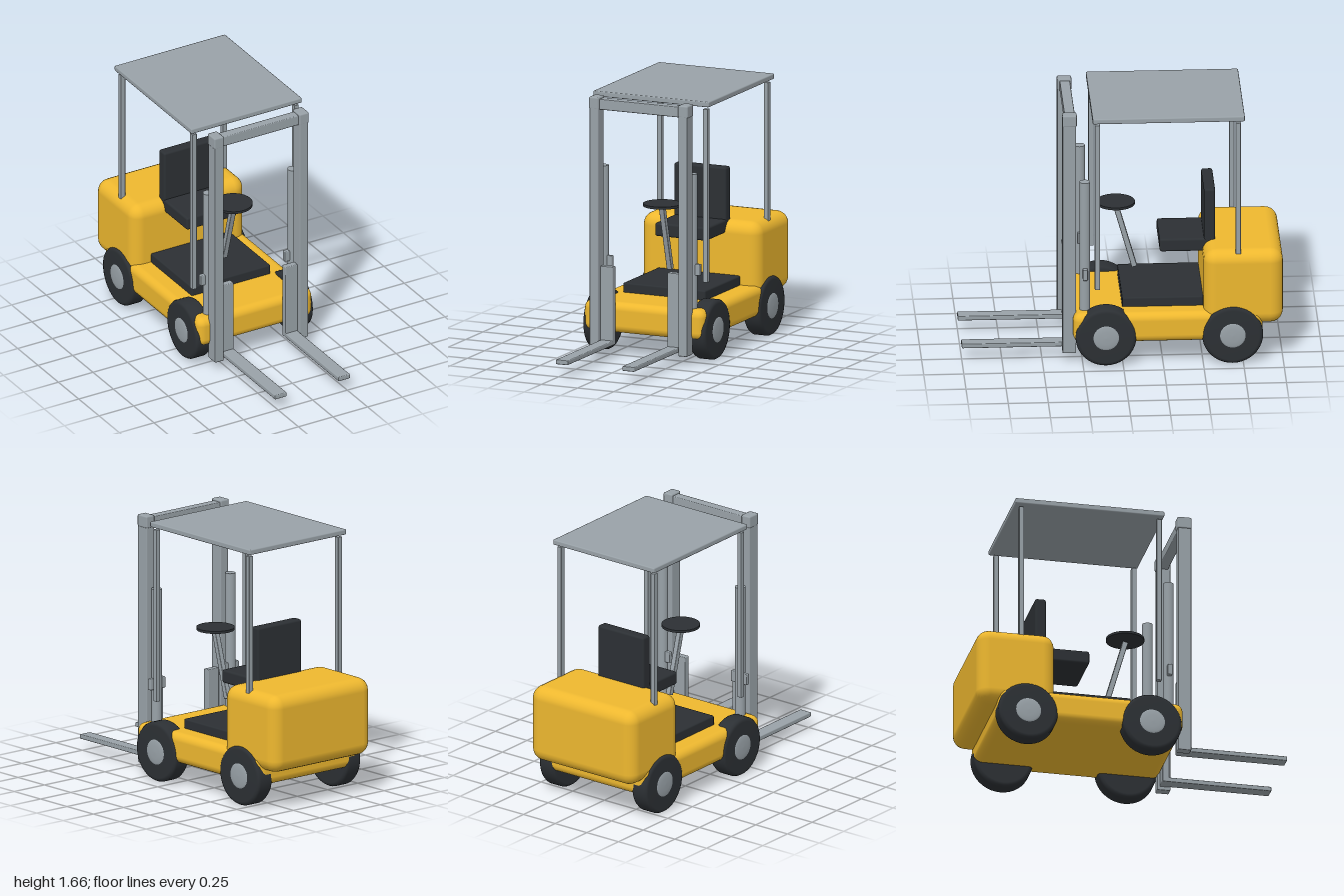
import * as THREE from 'three';
import { RoundedBoxGeometry } from 'three/addons/geometries/RoundedBoxGeometry.js';

const yellow = new THREE.MeshStandardMaterial({ color: 0xeeb82f });
const dark = new THREE.MeshStandardMaterial({ color: 0x2c3034 });
const steel = new THREE.MeshStandardMaterial({ color: 0x99a2a8 });

export function createModel() {
  const model = new THREE.Group();

  function add(name, geometry, material, x = 0, y = 0, z = 0) {
    const mesh = new THREE.Mesh(geometry, material);
    mesh.name = name;
    mesh.position.set(x, y, z);
    model.add(mesh);
    return mesh;
  }

  // Softened box given by its [min, max] range on each axis
  function box(name, material, [x0, x1], [y0, y1], [z0, z1], radius = 0.006, segments = 1) {
    const geometry = new RoundedBoxGeometry(x1 - x0, y1 - y0, z1 - z0, segments, radius);
    return add(name, geometry, material, (x0 + x1) / 2, (y0 + y1) / 2, (z0 + z1) / 2);
  }

  // Same box on both sides; the range is for the left (+x) side
  function boxPair(name, material, [x0, x1], y, z, radius) {
    box(name + 'Left', material, [x0, x1], y, z, radius);
    box(name + 'Right', material, [-x1, -x0], y, z, radius);
  }

  // Body
  box('chassis', yellow, [-0.415, 0.415], [0.15, 0.345], [-0.87, 0.31], 0.05, 3);
  box('counterweight', yellow, [-0.41, 0.41], [0.25, 0.745], [-1, -0.505], 0.08, 3);
  box('floorMat', dark, [-0.285, 0.285], [0.33, 0.405], [-0.51, 0], 0.01);

  // Seat
  box('seatCushion', dark, [-0.18, 0.18], [0.665, 0.75], [-0.58, -0.24], 0.014, 2);
  box('seatBack', dark, [-0.18, 0.18], [0.67, 1.08], [-0.587, -0.517], 0.014, 2);

  // Steering column and wheel
  const column = add('steeringColumn', new RoundedBoxGeometry(0.035, 0.43, 0.035, 1, 0.005), steel, 0, 0.71, -0.033);
  column.rotation.x = 0.275;
  add('steeringWheel', new THREE.CylinderGeometry(0.12, 0.12, 0.016, 32), dark, 0, 0.935, 0.025);

  // Wheels: tyre and domed hub, turned around the axle
  const tyreProfile = [[0, -0.06], [0.165, -0.06], [0.182, -0.054], [0.19, -0.04],
    [0.19, 0.04], [0.182, 0.054], [0.165, 0.06], [0, 0.06]];
  const hubProfile = [[0.088, 0.05], [0.086, 0.058], [0.07, 0.063], [0.04, 0.066], [0, 0.067]];
  const lathe = (points) => new THREE.LatheGeometry(points.map(([r, h]) => new THREE.Vector2(r, h)), 40);
  const tyre = lathe(tyreProfile);
  const hub = lathe(hubProfile);
  for (const side of [1, -1]) {
    for (const [end, z] of [['front', 0.107], ['rear', -0.683]]) {
      const label = end + (side > 0 ? 'Left' : 'Right');
      for (const [part, geometry, material] of [['Tyre', tyre, dark], ['Hub', hub, steel]]) {
        add(label + part, geometry, material, side * 0.365, 0.192, z).rotation.z = -side * Math.PI / 2;
      }
    }
  }

  // Overhead guard
  box('roof', steel, [-0.4, 0.4], [1.62, 1.655], [-0.76, 0.19], 0.008);
  boxPair('frontPost', steel, [0.352, 0.384], [0.5, 1.605], [0.144, 0.176], 0.003);
  boxPair('rearPost', steel, [0.352, 0.384], [0.7, 1.605], [-0.735, -0.703], 0.003);

  // Mast
  boxPair('mastRail', steel, [0.275, 0.337], [0.06, 1.6], [0.29, 0.375]);
  boxPair('mastCap', steel, [0.273, 0.342], [1.58, 1.658], [0.285, 0.376], 0.01);
  box('mastCrossbar', steel, [-0.28, 0.28], [1.578, 1.645], [0.295, 0.36]);

  // Lift cylinders with their brackets
  for (const side of [1, -1]) {
    const label = side > 0 ? 'Left' : 'Right';
    add('liftCylinder' + label, new THREE.CylinderGeometry(0.033, 0.033, 0.9, 24), steel, side * 0.305, 0.75, 0.234);
  }
  boxPair('cylinderBracket', steel, [0.242, 0.366], [0.555, 0.628], [0.219, 0.249]);

  // Forks
  boxPair('forkShank', steel, [0.187, 0.275], [0.08, 0.58], [0.305, 0.35]);
  boxPair('forkBlade', steel, [0.187, 0.272], [0.08, 0.11], [0.305, 1]);

  return model;
}
